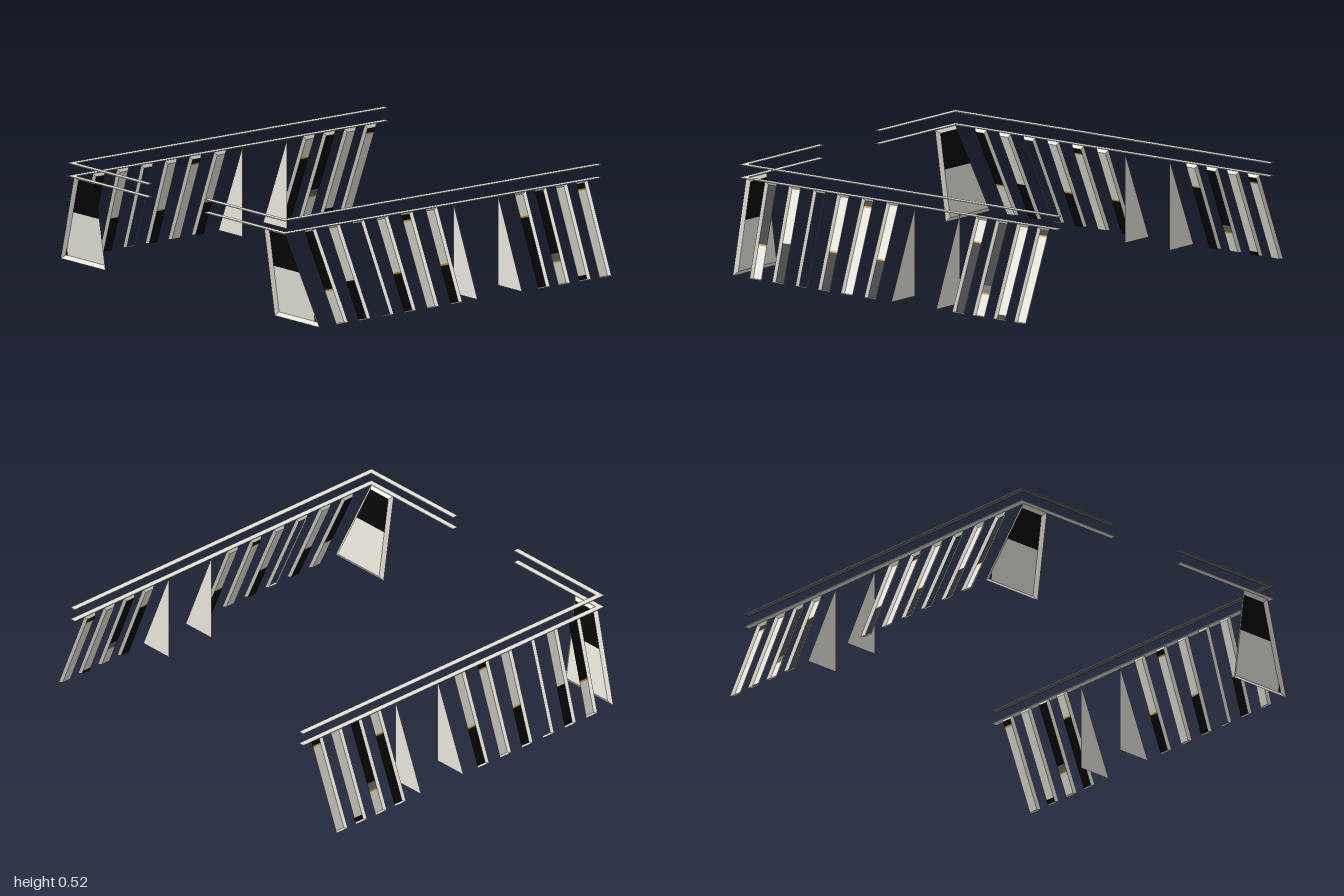
import * as THREE from 'three';

const mat = (name, color) => {
  const m = new THREE.MeshStandardMaterial({ color, side: THREE.DoubleSide });
  m.name = name;
  return m;
};

export function createModel() {
  const root = new THREE.Group();
  const paleMat = mat('pale warm grey', 0xe7e5db);
  const blackMat = mat('black screen', 0x060606);
  const orangeMat = mat('orange line', 0xd0982a);
  const greyMat = mat('dark grey', 0x666663);

  const TOP = 0.452, BOTTOM = 0.004;

  // mesh from a list of triangle or quad corner loops
  function faces(name, loops, material, parent) {
    const pos = [];
    for (const l of loops)
      for (let i = 1; i < l.length - 1; i++)
        for (const p of [l[0], l[i], l[i + 1]]) pos.push(p.x, p.y, p.z);
    const g = new THREE.BufferGeometry();
    g.setAttribute('position', new THREE.Float32BufferAttribute(pos, 3));
    g.computeVertexNormals();
    const m = new THREE.Mesh(g, material);
    m.name = name;
    parent.add(m);
  }

  // panel a-b (bottom) to d-c (top): bevelled recess plus coloured bands [y0, y1, material]
  function panel(name, s, [a, b, c, d], inset, bottomInset, depth, bands) {
    const group = new THREE.Group();
    group.name = name;
    root.add(group);
    const ux = b.clone().sub(a), vy = d.clone().sub(a);
    const inward = ux.clone().cross(vy).normalize().multiplyScalar(-depth);
    const at = (u, y, recess) => {
      const v = (y - a.y) / (d.y - a.y);
      const l = a.clone().lerp(d, v), r = b.clone().lerp(c, v);
      const e = recess ? inset / l.distanceTo(r) : 0;
      const p = l.lerp(r, u ? 1 - e : e);
      if (recess) p.add(inward);
      p.x *= s;
      return p;
    };
    const loop = (y0, y1, recess) =>
      [at(0, y0, recess), at(1, y0, recess), at(1, y1, recess), at(0, y1, recess)];
    const lo = a.y + bottomInset, hi = d.y - inset * 0.9;
    const outer = loop(a.y, d.y, false), inner = loop(lo, hi, true);
    faces('bevelledFrame', outer.map((p, i) => {
      const j = (i + 1) % 4;
      return [p, outer[j], inner[j], inner[i]];
    }), paleMat, group);
    for (const [y0, y1, m] of bands)
      faces('paneBand', [loop(Math.max(y0, lo), Math.min(y1, hi), true)], m, group);
    return group;
  }

  const V = (x, y, z) => new THREE.Vector3(x, y, z);
  const P = paleMat, K = blackMat, O = orangeMat, G = greyMat;

  // slanted side panels: top z, bottom z (front edges), colour bands from the bottom up
  const sidePanels = [
    [0.85, 0.797, [[0, 0.162, P], [0.162, 0.169, O], [0.169, 1, K]]],
    [0.70, 0.656, [[0, 0.19, K], [0.19, 1, P]]],
    [0.547, 0.51, []],
    [0.397, 0.37, [[0, 0.184, K], [0.184, 0.191, O], [0.191, 1, P]]],
    [0.243, 0.227, [[0, 0.41, P], [0.41, 0.417, O], [0.417, 1, K]]],
    [0.088, 0.08, [[0, 0.184, K], [0.184, 0.191, O], [0.191, 1, P]]],
    [-0.47, -0.47, [[0, 0.334, K], [0.334, 0.341, O], [0.341, 1, P]]],
    [-0.597, -0.597, [[0, 0.109, P], [0.109, 0.116, O], [0.116, 0.15, G], [0.15, 1, K]]],
    [-0.728, -0.728, [[0, 0.03, K], [0.03, 1, P]]],
    [-0.856, -0.856, [[0, 0.41, P], [0.41, 0.417, O], [0.417, 1, K]]],
  ];
  const WIDTH = 0.075, XT = 0.813, XB = 0.998;

  for (const s of [1, -1]) {
    const side = s > 0 ? 'left' : 'right';

    sidePanels.forEach(([zt, zb, bands], i) => panel(`${side}SidePanel${i + 1}`, s, [
      V(XB, BOTTOM, zb), V(XB, BOTTOM, zb - WIDTH),
      V(XT, TOP, zt - WIDTH), V(XT, TOP, zt),
    ], 0.012, 0.006, 0.014, bands));

    // large tapered front panel, leaning forward at the top
    const front = panel(`${side}FrontPanel`, s, [
      V(0.652, BOTTOM, 0.902), V(XB, BOTTOM, 0.902),
      V(XT, TOP, 0.968), V(0.652, TOP, 0.968),
    ], 0.02, 0.018, 0.015, [[0, 0.257, P], [0.257, 1, K]]);
    // small dark corner mark with a fine orange edge
    const mark = (name, w, h, z, m) => faces(name, [[
      V(s * 0.968, 0.025, z), V(s * (0.968 - w), 0.025, z), V(s * (0.968 - w), 0.025 + h, z + h * 0.147),
    ]], m, front);
    mark('cornerMarkEdge', 0.018, 0.042, 0.893, orangeMat);
    mark('cornerMark', 0.0155, 0.037, 0.895, blackMat);

    // triangular fins flanking the side entrance
    for (const z of [-0.09, -0.37])
      faces(`${side}EntranceFin`, [[
        V(s * XT, BOTTOM, z), V(s * XB, BOTTOM, z), V(s * XT, TOP, z),
      ]], paleMat, root);

    // two flat L-shaped rails, the upper one with a dark underside
    for (const [label, y, under] of [['LowerRail', 0.455, paleMat], ['UpperRail', 0.52, greyMat]]) {
      const rail = new THREE.Group();
      rail.name = side + label;
      const bar = (name, x0, x1, z0, z1) => {
        const m = new THREE.Mesh(new THREE.BoxGeometry(x1 - x0, 0.004, z1 - z0),
          [paleMat, paleMat, paleMat, under, paleMat, paleMat]);
        m.name = name;
        m.position.set(s * (x0 + x1) / 2, y, (z0 + z1) / 2);
        rail.add(m);
      };
      bar('sideBar', 0.806, 0.836, -1, 0.99);
      bar('frontBar', 0.218, 0.806, 0.962, 0.99);
      root.add(rail);
    }
  }
  return root;
}
